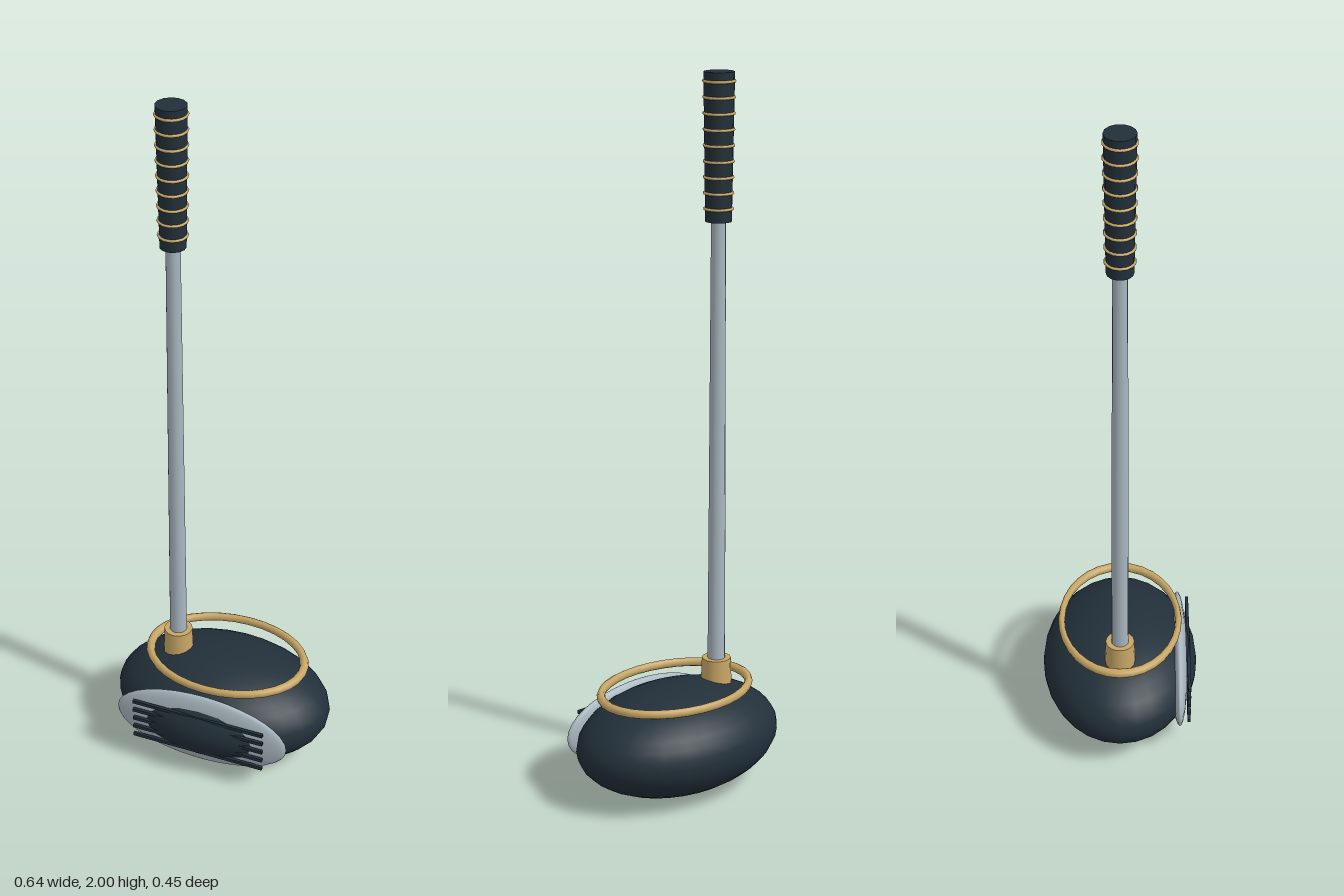
import * as THREE from 'three';

const material = (name, color) => {
  const m = new THREE.MeshStandardMaterial({ color });
  m.name = name;
  return m;
};

export function createModel() {
  const model = new THREE.Group();
  model.name = 'golfClub';
  const dark = material('dark slate', 0x22303a);
  const silver = material('silver', 0xa9b7c0);
  const gold = material('gold', 0xc8a766);

  const add = (name, geometry, mat, x, y, z, parent = model) => {
    const mesh = new THREE.Mesh(geometry, mat);
    mesh.name = name;
    mesh.position.set(x, y, z);
    parent.add(mesh);
    return mesh;
  };
  const ellipsoid = (rx, ry, rz) => new THREE.SphereGeometry(1, 28, 18).scale(rx, ry, rz);
  const flatRing = (radius, tube, sides) =>
    new THREE.TorusGeometry(radius, tube, 8, sides).rotateX(Math.PI / 2);

  // Club head with domed striking plate
  add('head', ellipsoid(0.32, 0.15, 0.225), dark, 0, 0.15, 0);
  add('facePlate', ellipsoid(0.262, 0.115, 0.026), silver, 0, 0.154, 0.172);

  // Horizontal face grooves
  for (let i = 0; i < 5; i++) {
    add('faceGroove', new THREE.BoxGeometry(0.4, 0.01, 0.009), dark, 0, 0.09 + i * 0.03, 0.2);
  }

  // Oval trim above the crown
  add('crownTrim', flatRing(0.23, 0.013, 32).scale(1, 1, 0.74), gold, 0.01, 0.297, 0);

  // Shaft, with its collar at the head
  const shaftX = -0.143;
  add('collar', new THREE.CylinderGeometry(0.041, 0.045, 0.11, 14), gold, shaftX, 0.295, 0);
  add('shaft', new THREE.CylinderGeometry(0.02, 0.025, 1.32, 14), silver, shaftX, 0.96, 0);

  // Grip wrapped in thin rings
  const grip = new THREE.Group();
  grip.name = 'grip';
  grip.position.x = shaftX;
  model.add(grip);
  add('gripSleeve', new THREE.CylinderGeometry(0.042, 0.036, 0.4, 14), dark, 0, 1.8, 0, grip);
  for (let i = 0; i < 9; i++) {
    add('gripRing', flatRing(0.038 + i * 0.0005, 0.004, 14), gold, 0, 1.635 + i * 0.0425, 0, grip);
  }

  return model;
}
